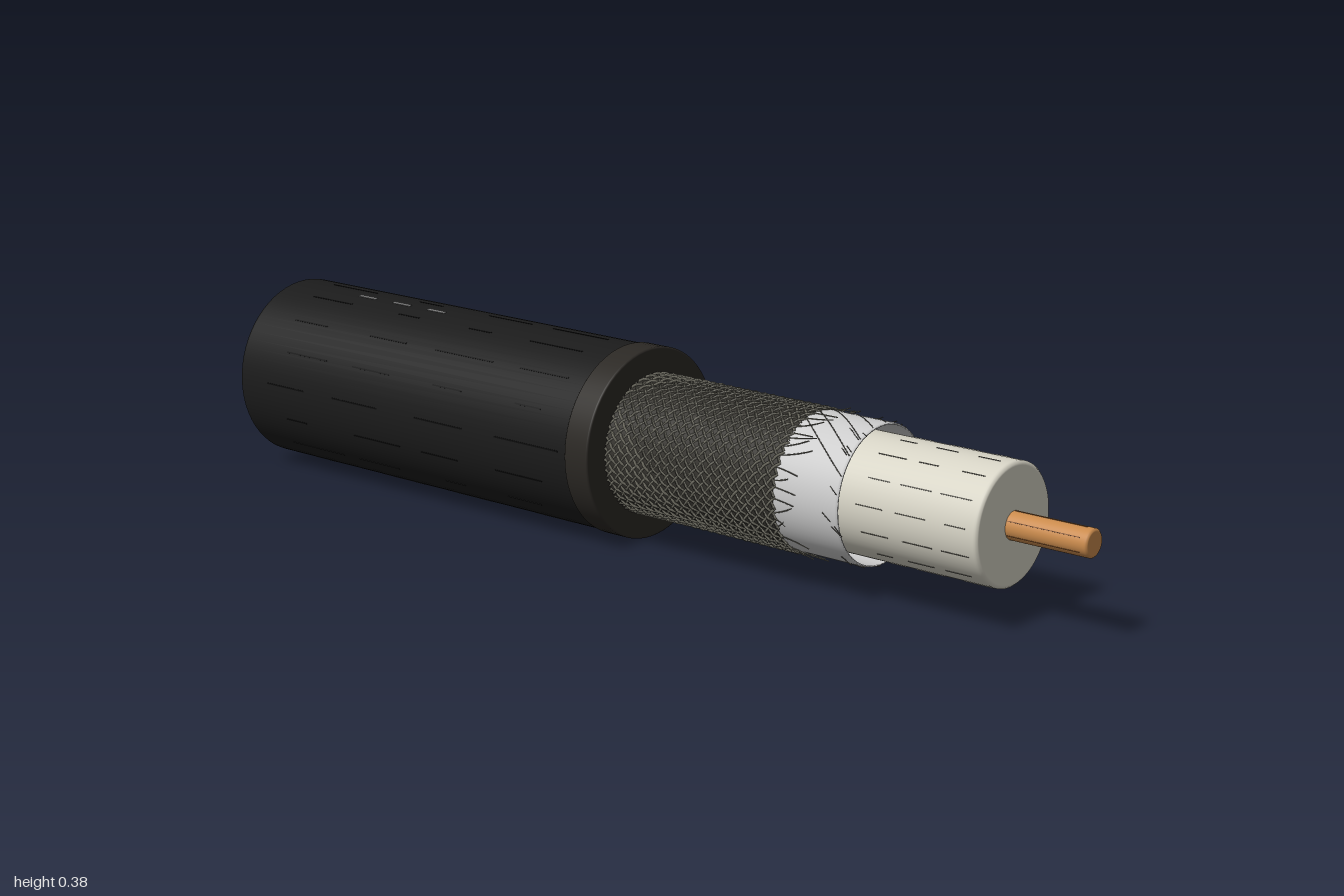
import * as THREE from 'three';
import { mergeGeometries } from 'three/addons/utils/BufferGeometryUtils.js';

const mat = (color, side = THREE.FrontSide) => new THREE.MeshStandardMaterial({ color, side });

// Solid or hollow turned part along x, from [x, radius] points
function turned(name, points, material) {
  const geo = new THREE.LatheGeometry(points.map(([x, r]) => new THREE.Vector2(r, x)), 64);
  geo.rotateZ(-Math.PI / 2);
  const mesh = new THREE.Mesh(geo, material);
  mesh.name = name;
  return mesh;
}

// Closed rod with a tiny softened rim at both ends
const rod = (name, x0, x1, r, b, material) => turned(name, [
  [x0, 0], [x0, r - b * 2], [x0, r - b], [x0 + b, r], [x0 + b * 2, r],
  [x1 - b * 2, r], [x1 - b, r], [x1, r - b], [x1, r - b * 2], [x1, 0],
], material);

// Point on a cylinder around x; angle is measured from the top towards +z
const polar = (x, r, a) => new THREE.Vector3(x, r * Math.cos(a), r * Math.sin(a));

// Thin raised strip lying lengthwise on a cylinder
function strip(x, len, r, a, width) {
  const geo = new THREE.BoxGeometry(len, 0.003, width);
  geo.rotateX(a);
  const p = polar(x, r, a);
  return geo.translate(p.x, p.y, p.z);
}

function merged(name, geos, material) {
  const mesh = new THREE.Mesh(mergeGeometries(geos), material);
  mesh.name = name;
  return mesh;
}

// Small seeded generator
function seeded(seed) {
  return () => (seed = (seed * 16807) % 2147483647) / 2147483647;
}

export function createModel() {
  const model = new THREE.Group();
  model.name = 'coaxialCable';
  const rand = seeded(77);

  const rubber = mat(0x1b1b1b), cutRubber = mat(0x2b2824), dark = mat(0x0c0c0c);
  const shield = mat(0x34322d), wire = mat(0x7c7a6e), foil = mat(0xd9d9d5, THREE.DoubleSide);
  const plastic = mat(0xd6d3c5), seam = mat(0x55534c), copper = mat(0xc98a4c);

  // Main layers
  model.add(rod('outerJacket', -0.992, -0.02, 0.187, 0.004, rubber));
  model.add(rod('jacketCutCollar', -0.066, -0.008, 0.19, 0.002, cutRubber));
  model.add(rod('braidBacking', -0.02, 0.4, 0.136, 0.002, shield));
  model.add(turned('foilSleeve', [
    [0.38, 0.135], [0.54, 0.135], [0.545, 0.134], [0.545, 0.131], [0.4, 0.131],
  ], foil));
  model.add(rod('dielectricCore', 0.36, 0.833, 0.116, 0.004, plastic));
  model.add(rod('centreConductor', 0.82, 1.0, 0.027, 0.003, copper));

  // Woven shield: two opposed sets of helical wires passing over and under
  const N = 40, turns = 0.5, x0 = -0.012, x1 = 0.405, wires = [];
  for (const dir of [1, -1]) {
    for (let k = 0; k < N; k++) {
      const path = new THREE.Curve();
      path.getPoint = (t, out = new THREE.Vector3()) => {
        const w = turns * 2 * Math.PI * t;
        const r = 0.137 + dir * 0.002 * Math.cos(N * w);
        return out.copy(polar(x0 + (x1 - x0) * t, r, k * 2 * Math.PI / N + dir * w));
      };
      path.getPointAt = path.getPoint;
      path.getTangentAt = path.getTangent;
      wires.push(new THREE.TubeGeometry(path, 120, 0.003, 3));
    }
  }
  model.add(merged('braidWires', wires, wire));

  // Loose wire ends splayed over the foil
  const hairs = [];
  for (let i = 0; i < 44; i++) {
    const a = i * 2 * Math.PI / 44 + rand() * 0.1;
    const x = 0.395, len = 0.025 + rand() * 0.05, twist = (rand() - 0.5) * 0.35;
    const path = new THREE.QuadraticBezierCurve3(
      polar(x, 0.136, a), polar(x + len * 0.5, 0.138, a + twist * 0.3),
      polar(x + len, 0.138 + rand() * 0.008, a + twist));
    hairs.push(new THREE.TubeGeometry(path, 5, 0.0011, 4));
  }
  model.add(merged('looseWires', hairs, wire));

  // Spiral overlaps and frayed edge of the foil
  const folds = [];
  for (let i = 0; i < 5; i++) {
    const pts = [];
    for (let j = 0; j <= 10; j++) pts.push(polar(0.4 + 0.0143 * j, 0.1352, -0.9 + i * 0.3 + j * 0.08));
    folds.push(new THREE.TubeGeometry(new THREE.CatmullRomCurve3(pts), 24, 0.0011, 4));
  }
  for (let i = 0; i < 26; i++) {
    const a = rand() * 2 * Math.PI, x = 0.5 + rand() * 0.04;
    folds.push(new THREE.TubeGeometry(new THREE.LineCurve3(
      polar(x, 0.135, a), polar(x + 0.02, 0.136 + rand() * 0.007, a + 0.1)), 1, 0.001, 4));
  }
  model.add(merged('foilFolds', folds, seam));

  // Fine lengthwise marks on the core and conductor
  const coreLines = [], conductorLines = [];
  for (let i = 0; i < 14; i++) {
    const a = i * 2 * Math.PI / 14 + 0.1;
    for (let j = 0; j < 3; j++)
      coreLines.push(strip(0.6 + j * 0.085 + rand() * 0.02, 0.03 + rand() * 0.04, 0.1152, a, 0.002));
  }
  for (let i = 0; i < 6; i++) conductorLines.push(strip(0.91, 0.15, 0.0262, i * Math.PI / 3, 0.0015));
  model.add(merged('coreLines', coreLines, seam));
  model.add(merged('conductorLines', conductorLines, mat(0x7a4a22)));

  // Lengthwise scuffs on the jacket
  const scuffs = [];
  for (let i = 0; i < 16; i++) {
    const a = i * 2 * Math.PI / 16 + 0.35;
    for (let j = 0; j < 4; j++)
      scuffs.push(strip(-0.86 + j * 0.21 + rand() * 0.06, 0.05 + rand() * 0.12, 0.186, a, 0.003));
  }
  model.add(merged('jacketScuffs', scuffs, dark));

  // Three pale print dashes on top of the jacket
  const dashes = [-0.765, -0.665, -0.565].map((x) => strip(x, 0.05, 0.1865, 0.14, 0.007));
  model.add(merged('jacketDashes', dashes, mat(0x8c8c8c)));

  // The cable lies turned slightly towards the front
  model.rotation.y = -0.0435;
  model.position.set(0, 0.192, 0.018);
  const root = new THREE.Group();
  root.name = 'cable';
  root.add(model);
  return root;
}
